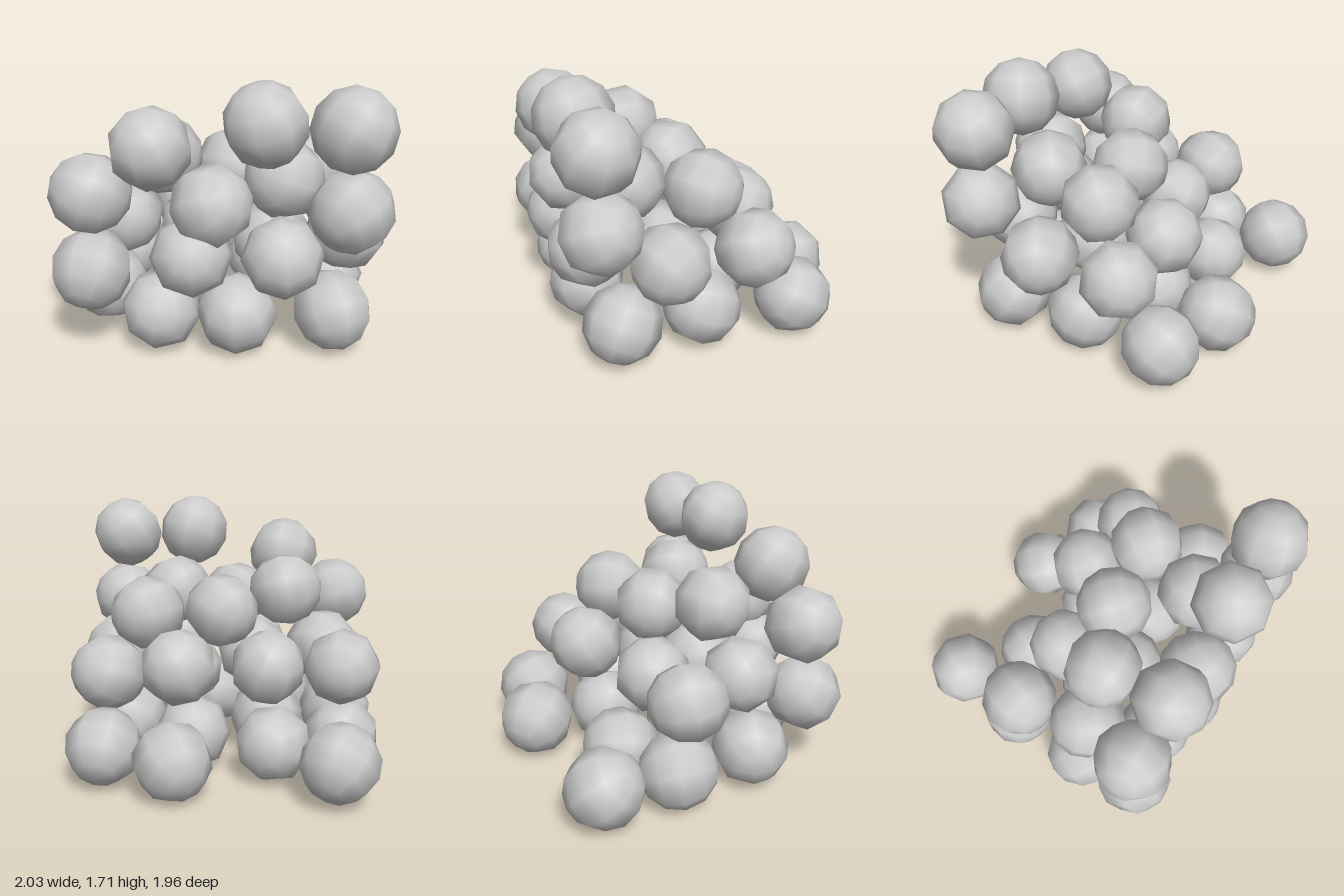
import * as THREE from 'three';

// Ball centres [x, y, z], grouped by layer of the heap
const layers = {
  bottomBall: [
    [-0.76, 0.24, 0.31], [-0.36, 0.24, 0.66], [0.11, 0.24, 0.68], [0.69, 0.25, 0.61],
    [0.66, 0.24, 0.08], [0.76, 0.25, -0.50], [0.31, 0.24, -0.69], [0.22, 0.24, -0.2],
    [-0.31, 0.24, -0.39], [-0.70, 0.26, -0.73], [-0.75, 0.24, -0.24], [-0.27, 0.24, 0.12],
  ],
  lowerBall: [
    [-0.77, 0.52, 0.72], [-0.16, 0.64, 0.74], [0.38, 0.64, 0.73], [0.77, 0.66, 0.33],
    [0.76, 0.65, -0.22], [0.30, 0.71, -0.30], [-0.27, 0.66, -0.12], [-0.75, 0.69, -0.18],
    [-0.65, 0.71, 0.29], [-0.17, 0.66, 0.29], [0.29, 0.55, 0.22],
  ],
  upperBall: [
    [-0.76, 1.0, 0.69], [-0.04, 0.96, 0.74], [0.77, 0.95, 0.74], [0.38, 1.05, 0.48],
    [0.53, 0.99, 0.03], [0.04, 1.0, 0.07], [-0.39, 1.11, 0.25],
  ],
  topBall: [[-0.39, 1.29, 0.72], [0.27, 1.45, 0.74], [0.76, 1.43, 0.74]],
};

export function createModel() {
  const model = new THREE.Group();
  model.name = 'ballHeap';
  const ball = new THREE.SphereGeometry(0.25, 8, 6);
  const grey = new THREE.MeshStandardMaterial({ color: 0xcccccc });

  // Small seeded generator for the tumbled orientations
  let seed = 7;
  const angle = () => {
    seed = (seed * 16807) % 2147483647;
    return (seed / 2147483647) * Math.PI * 2;
  };

  // Each layer holds its own balls, every one turned differently
  for (const [name, centres] of Object.entries(layers)) {
    const layer = new THREE.Group();
    layer.name = name + 'Layer';
    centres.forEach((c, i) => {
      const mesh = new THREE.Mesh(ball, grey);
      mesh.name = name + (i + 1);
      mesh.position.set(...c);
      mesh.rotation.set(angle(), angle(), angle());
      layer.add(mesh);
    });
    model.add(layer);
  }
  return model;
}
